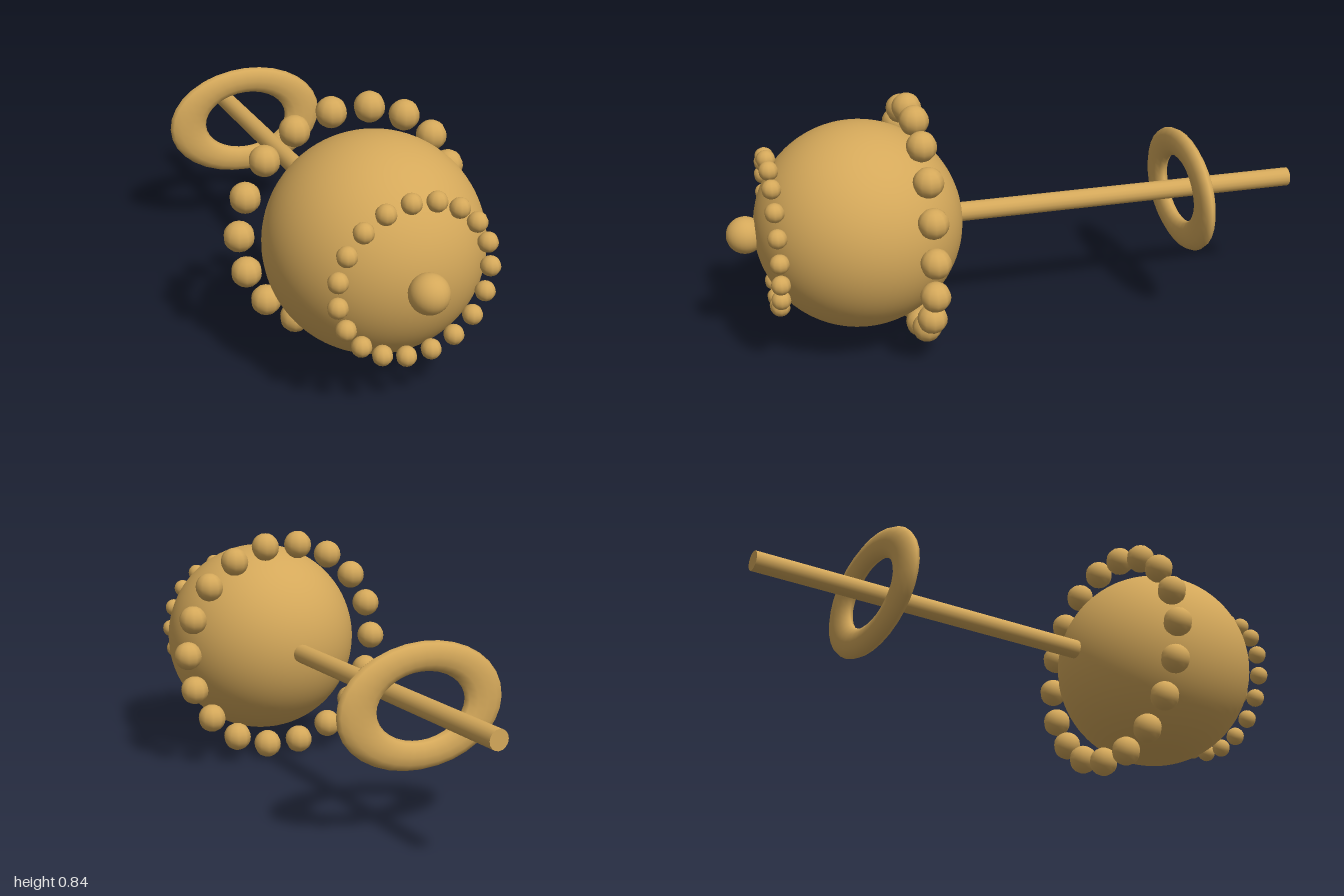
import * as THREE from 'three';

const AXIS_Y = 0.428; // height of the long axis

export function createModel() {
  const model = new THREE.Group();
  const brass = new THREE.MeshStandardMaterial({ color: 0xd4a85a });
  brass.name = 'brass';

  const add = (parent, name, geometry, x, y, z) => {
    const mesh = new THREE.Mesh(geometry, brass);
    mesh.name = name;
    mesh.position.set(x, y, z);
    parent.add(mesh);
    return mesh;
  };

  // Evenly spaced beads in a circle around the long axis
  const addBeadRing = (name, count, ringRadius, beadRadius, z) => {
    const ring = new THREE.Group();
    ring.name = name;
    const bead = new THREE.SphereGeometry(beadRadius, 10, 10);
    for (let i = 0; i < count; i++) {
      const a = (i / count) * Math.PI * 2;
      add(ring, 'bead', bead, Math.cos(a) * ringRadius, AXIS_Y + Math.sin(a) * ringRadius, z);
    }
    model.add(ring);
  };

  // Ball head with its front knob
  add(model, 'ball', new THREE.SphereGeometry(0.348, 64, 48), 0, AXIS_Y, 0.562);
  add(model, 'frontKnob', new THREE.SphereGeometry(0.062, 24, 16), 0, AXIS_Y, 0.938);

  // Bead rings
  addBeadRing('rearBeadRing', 18, 0.375, 0.05, 0.375);
  addBeadRing('frontBeadRing', 19, 0.25, 0.032, 0.85);

  // Shaft running back from the ball
  const shaft = new THREE.CylinderGeometry(0.033, 0.033, 1.23, 16).rotateX(Math.PI / 2);
  add(model, 'shaft', shaft, 0, AXIS_Y, -0.385);

  // Flattened oval handle around the shaft
  const handle = new THREE.TorusGeometry(0.23, 0.07, 12, 32).scale(1, 0.685, 0.42);
  add(model, 'handleRing', handle, 0, AXIS_Y, -0.588);

  return model;
}
